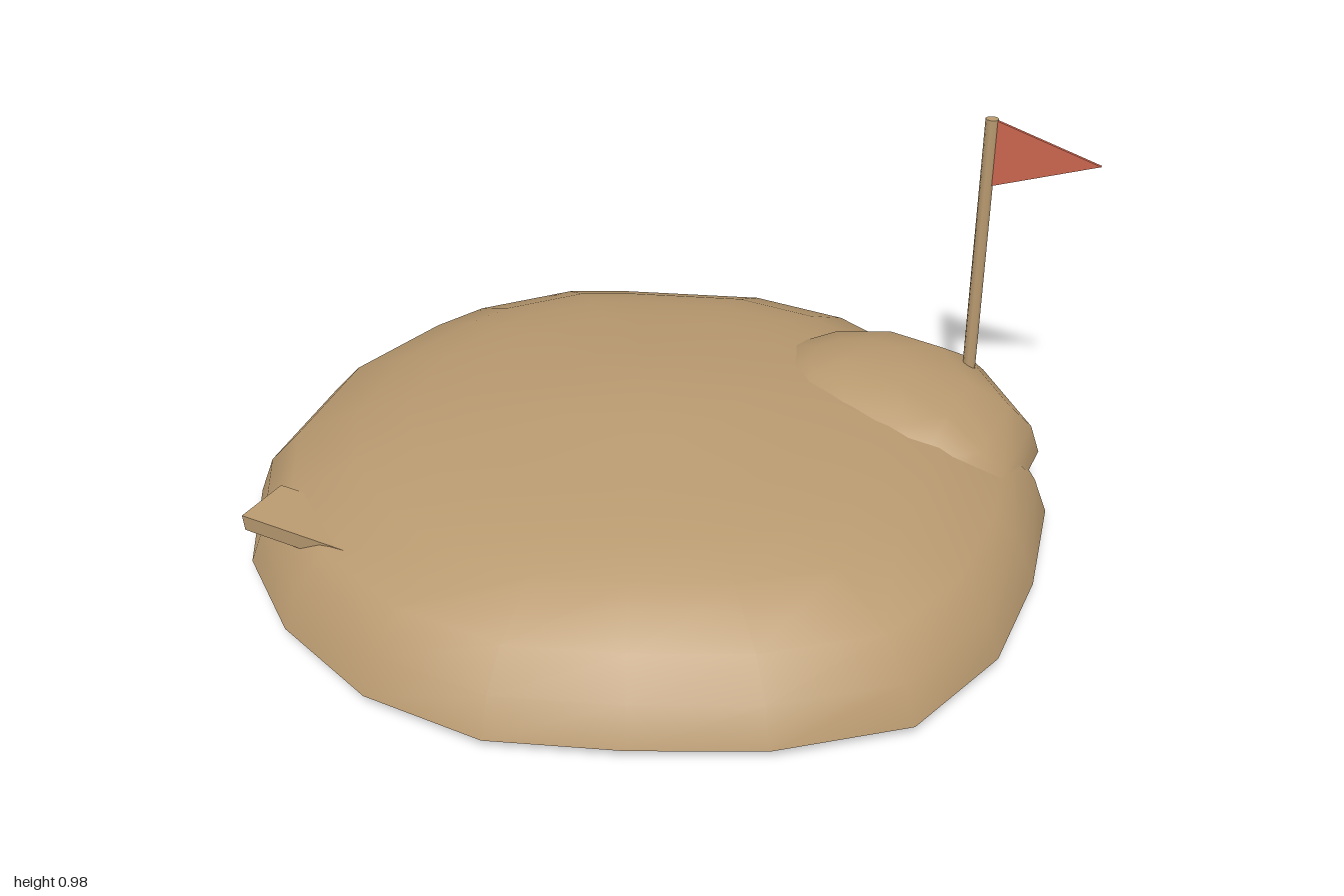
import * as THREE from 'three';

// Smooth mound: an irregular outline (points [x, z]) swept up through rings of [scale, y],
// leaning towards the apex [x, z]; the underside is a separate shallow cap with a sharp rim.
function mound(name, material, outline, centre, apex, rings, topY, bottomY) {
  const n = outline.length;
  const group = new THREE.Group();
  group.name = name;
  const rimY = rings[0][1];

  const build = (part, levels, tipX, tipY, tipZ, up) => {
    const pos = [], idx = [];
    for (const [s, y] of levels) {
      const lean = 1 - s;
      const cx = centre[0] + (apex[0] - centre[0]) * lean;
      const cz = centre[1] + (apex[1] - centre[1]) * lean;
      for (const [x, z] of outline) pos.push(cx + (x - centre[0]) * s, y, cz + (z - centre[1]) * s);
    }
    pos.push(tipX, tipY, tipZ);
    const tri = (a, b, c) => (up ? idx.push(a, b, c) : idx.push(a, c, b));
    const last = levels.length - 1;
    for (let k = 0; k < n; k++) {
      const m = (k + 1) % n;
      for (let r = 0; r < last; r++) {
        const a = r * n + k, b = r * n + m;
        tri(a, b, b + n);
        tri(a, b + n, a + n);
      }
      tri(last * n + k, last * n + m, levels.length * n);
    }
    const g = new THREE.BufferGeometry();
    g.setAttribute('position', new THREE.Float32BufferAttribute(pos, 3));
    g.setIndex(idx);
    g.computeVertexNormals();
    const mesh = new THREE.Mesh(g, material);
    mesh.name = part;
    group.add(mesh);
  };

  build(name + 'Top', rings, apex[0], topY, apex[1], true);
  build(name + 'Underside', [[1, rimY]], centre[0], bottomY, centre[1], false);
  return group;
}

export function createModel() {
  const model = new THREE.Group();
  model.name = 'flaggedMound';
  const sand = new THREE.MeshStandardMaterial({ color: 0xb99a70 });
  sand.name = 'sand';
  const red = new THREE.MeshStandardMaterial({ color: 0xc9654f, side: THREE.DoubleSide });
  red.name = 'flag red';

  // Main hill, outline running from the front round by +x
  const hillOutline = [
    [0, 1], [0.3, 0.92], [0.59, 0.81], [0.86, 0.62], [0.98, 0.32],
    [1, 0], [0.97, -0.33], [0.82, -0.6], [0.58, -0.8], [0.3, -0.96],
    [0, -1], [-0.42, -0.89], [-0.6, -0.82], [-0.82, -0.6], [-0.9, -0.44],
    [-1, -0.1], [-0.97, 0.31], [-0.82, 0.6], [-0.6, 0.81], [-0.31, 0.96],
  ];
  model.add(mound('hill', sand, hillOutline, [0, 0], [0, 0],
    [[1, 0.03], [0.965, 0.125], [0.89, 0.207], [0.73, 0.278], [0.6, 0.314], [0.46, 0.338], [0.23, 0.368]],
    0.38, 0));

  // Side knoll carrying the pole
  const knollOutline = [
    [0.5, 0.0], [0.74, -0.02], [0.9, -0.15], [0.92, -0.45], [0.73, -0.72],
    [0.5, -0.78], [0.28, -0.7], [0.12, -0.5], [0.12, -0.25], [0.26, -0.07],
  ];
  model.add(mound('knoll', sand, knollOutline, [0.52, -0.4], [0.42, -0.34],
    [[1, 0.13], [0.95, 0.205], [0.83, 0.262], [0.62, 0.32], [0.33, 0.355]], 0.37, 0.125));

  // Half-buried slab at the front
  const slab = new THREE.Mesh(new THREE.BoxGeometry(0.46, 0.042, 0.14), sand);
  slab.name = 'slab';
  slab.position.set(-0.555, 0.2, 0.628);
  slab.rotation.set(0.08, -0.19, 0.07);
  model.add(slab);

  // Pebble barely breaking the surface
  const pebble = new THREE.Mesh(new THREE.IcosahedronGeometry(0.025, 1), sand);
  pebble.name = 'pebble';
  pebble.position.set(0.64, 0.242, 0.45);
  model.add(pebble);

  // Pole
  const pole = new THREE.Mesh(new THREE.CylinderGeometry(0.017, 0.017, 0.73, 8), sand);
  pole.name = 'pole';
  pole.position.set(0.695, 0.615, -0.58);
  model.add(pole);

  // Pennant
  const shape = new THREE.Shape([
    new THREE.Vector2(0.705, 0.8), new THREE.Vector2(0.975, 0.893), new THREE.Vector2(0.705, 0.978),
  ]);
  const pennant = new THREE.Mesh(
    new THREE.ExtrudeGeometry(shape, { depth: 0.009, bevelEnabled: false }), red);
  pennant.name = 'pennant';
  pennant.position.z = -0.5845;
  model.add(pennant);

  return model;
}
